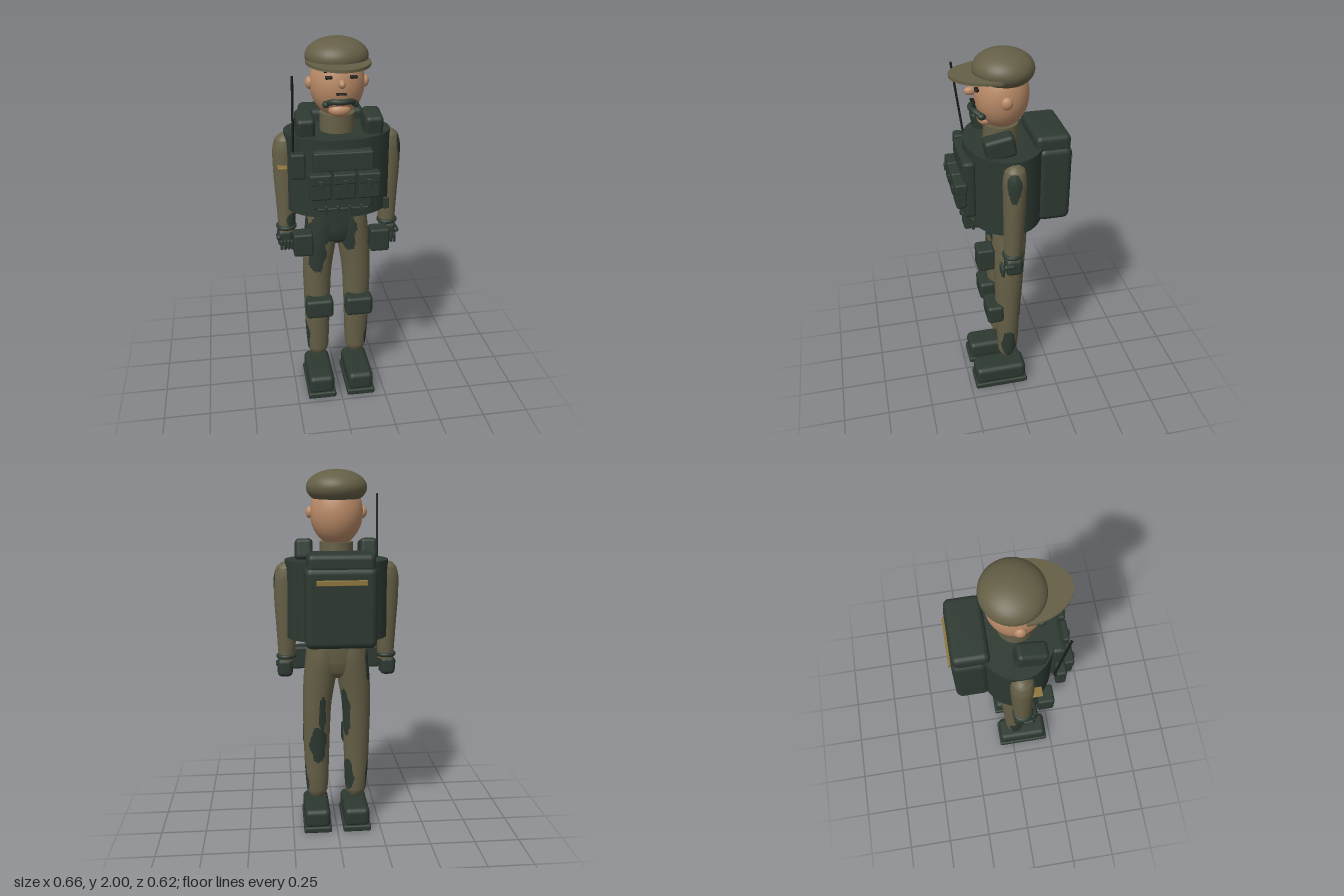
import * as THREE from 'three';
import { RoundedBoxGeometry } from 'three/addons/geometries/RoundedBoxGeometry.js';

const mat = (name, color, side = THREE.FrontSide) => {
  const m = new THREE.MeshStandardMaterial({ color, side });
  m.name = name;
  return m;
};

export function createModel() {
  const uniform = mat('olive uniform', 0x655f46);
  const gear = mat('dark green gear', 0x2d3931);
  const skin = mat('skin', 0xb98a67);
  const tan = mat('tan webbing', 0x8d763e);
  const black = mat('black', 0x1b1d1a);

  const model = new THREE.Group();
  model.name = 'soldier';

  const add = (name, geometry, material, x = 0, y = 0, z = 0, parent = model) => {
    const mesh = new THREE.Mesh(geometry, material);
    mesh.name = name;
    mesh.position.set(x, y, z);
    parent.add(mesh);
    return mesh;
  };
  const box = (w, h, d, r = 0.015) =>
    new RoundedBoxGeometry(w, h, d, 3, Math.min(r, w * 0.45, h * 0.45, d * 0.45));
  const ball = (rx, ry, rz) => new THREE.SphereGeometry(1, 40, 28).scale(rx, ry, rz);

  // Camouflage blotches: centre and radii
  const blotches = [
    [0.0, 1.03, 0.1, 0.095, 0.11, 0.07], [-0.12, 0.88, 0.1, 0.052, 0.12, 0.07],
    [-0.1, 1.0, 0.09, 0.06, 0.1, 0.06], [0.05, 0.95, 0.1, 0.04, 0.08, 0.05],
    [-0.17, 0.98, 0.0, 0.04, 0.11, 0.06],
    [0.17, 0.3, 0.025, 0.04, 0.1, 0.042], [-0.17, 0.33, 0.02, 0.04, 0.11, 0.04],
    [0.1, 0.52, -0.06, 0.07, 0.11, 0.035], [0.08, 0.68, -0.07, 0.022, 0.13, 0.035],
    [-0.05, 0.72, -0.02, 0.03, 0.17, 0.04], [-0.06, 0.32, -0.02, 0.035, 0.1, 0.04],
    [0.33, 1.44, 0.035, 0.045, 0.085, 0.035], [-0.24, 1.06, 0.06, 0.035, 0.05, 0.04],
  ];
  const isBlotch = (p) => blotches.some(([x, y, z, a, b, c]) =>
    ((p.x - x) / a) ** 2 + ((p.y - y) / b) ** 2 + ((p.z - z) / c) ** 2 <
      1 + 0.18 * Math.sin(p.y * 55 + p.x * 30));

  // Smooth sleeve or trouser tube through rings [y, cx, cz, rx, rz], camouflaged by face
  const limb = (rings, side = 1, rows = 100, cols = 56) => {
    const path = new THREE.CatmullRomCurve3(rings.map((r) => new THREE.Vector3(r[1] * side, r[0], r[2])));
    const size = new THREE.CatmullRomCurve3(rings.map((r) => new THREE.Vector3(r[3], 0, r[4])));
    const pts = [];
    const faces = [[], []];
    for (let i = 0; i <= rows; i++) {
      const c = path.getPoint(i / rows);
      const s = size.getPoint(i / rows);
      for (let j = 0; j < cols; j++) {
        const a = (j / cols) * Math.PI * 2;
        pts.push(new THREE.Vector3(c.x + Math.max(0, s.x) * Math.cos(a), c.y, c.z + Math.max(0, s.z) * Math.sin(a)));
      }
    }
    for (let i = 0; i < rows; i++) for (let j = 0; j < cols; j++) {
      const k = (j + 1) % cols;
      const [a, b, c, d] = [i * cols + j, i * cols + k, (i + 1) * cols + j, (i + 1) * cols + k];
      for (const tri of [[a, b, c], [b, d, c]]) {
        const mid = new THREE.Vector3();
        tri.forEach((v) => mid.addScaledVector(pts[v], 1 / 3));
        faces[isBlotch(mid) ? 1 : 0].push(...tri);
      }
    }
    const g = new THREE.BufferGeometry().setFromPoints(pts);
    g.setIndex([...faces[0], ...faces[1]]);
    g.addGroup(0, faces[0].length, 0);
    g.addGroup(faces[0].length, faces[1].length, 1);
    g.computeVertexNormals();
    return g;
  };
  const cloth = [uniform, gear];

  // Hips
  add('hips', limb([[1.16, 0, 0.005, 0.155, 0.09], [1.08, 0, 0.005, 0.162, 0.095],
    [1.0, 0, 0.008, 0.16, 0.092], [0.94, 0, 0.01, 0.12, 0.075], [0.905, 0, 0.01, 0.05, 0.04],
    [0.9, 0, 0.01, 0, 0]]), cloth);

  for (const s of [1, -1]) {
    const tag = s > 0 ? 'left' : 'right';

    // Trouser leg, knee pad and boot
    add(tag + 'Leg', limb([[1.12, 0.07, 0.005, 0.09, 0.088], [1.02, 0.077, 0.006, 0.092, 0.094],
      [0.9, 0.093, 0.01, 0.088, 0.088], [0.75, 0.108, 0.014, 0.079, 0.079], [0.6, 0.111, 0.017, 0.074, 0.072],
      [0.45, 0.112, 0.02, 0.07, 0.065], [0.32, 0.111, 0.02, 0.065, 0.06], [0.23, 0.11, 0.022, 0.058, 0.053],
      [0.195, 0.11, 0.022, 0.041, 0.037], [0.181, 0.11, 0.022, 0.015, 0.014], [0.179, 0.11, 0.022, 0, 0]], s), cloth);
    add(tag + 'KneePad', box(0.15, 0.11, 0.092, 0.02), gear, s * 0.11, 0.545, 0.1);
    add(tag + 'Boot', box(0.145, 0.11, 0.295, 0.03), gear, s * 0.112, 0.08, 0.07);
    add(tag + 'BootSole', box(0.158, 0.036, 0.308, 0.01), gear, s * 0.112, 0.018, 0.07);

    // Sleeve
    add(tag + 'Arm', limb([[1.535, 0.262, 0.02, 0, 0], [1.53, 0.262, 0.02, 0.025, 0.023],
      [1.505, 0.264, 0.02, 0.052, 0.05], [1.44, 0.267, 0.021, 0.064, 0.058], [1.33, 0.268, 0.022, 0.062, 0.056],
      [1.2, 0.268, 0.024, 0.055, 0.052], [1.08, 0.269, 0.027, 0.048, 0.047], [1.0, 0.27, 0.03, 0.043, 0.043]], s), cloth);

    // Gloved fist with cuff, fingers and thumb
    const hand = new THREE.Group();
    hand.name = tag + 'Hand';
    model.add(hand);
    add('cuff', new THREE.TorusGeometry(0.043, 0.012, 12, 32).rotateX(Math.PI / 2), gear, s * 0.272, 1.024, 0.03, hand);
    add('palm', box(0.082, 0.1, 0.09, 0.025), gear, s * 0.28, 0.962, 0.028, hand);
    for (let i = 0; i < 4; i++) {
      add('finger', new THREE.CapsuleGeometry(0.0085, 0.04, 6, 12), gear, s * (0.25 + i * 0.018), 0.936, 0.087, hand);
    }
    add('thumb', new THREE.CapsuleGeometry(0.014, 0.035, 6, 12).rotateX(Math.PI / 2), gear, s * 0.316, 0.975, 0.055, hand);

    // Hip pouch and shoulder pad
    add(tag + 'HipPouch', box(0.1, 0.125, 0.088, 0.012), gear, s * 0.2, 0.982, 0.162);
    add(tag + 'ShoulderPad', box(0.092, 0.11, 0.15, 0.022), gear, s * 0.17, 1.588, 0.073).rotation.x = 0.18;

    // Ear, eye and eyebrow
    add(tag + 'Ear', ball(0.022, 0.031, 0.028), skin, s * 0.137, 1.785, 0.028);
    add(tag + 'Eye', box(0.036, 0.016, 0.02, 0.006), black, s * 0.06, 1.836, 0.157);
    add(tag + 'Eyebrow', box(0.048, 0.01, 0.02, 0.004), black, s * 0.06, 1.866, 0.155);
  }

  // Vest and collar
  add('vest', new THREE.CylinderGeometry(1, 1, 0.41, 40).scale(0.272, 1, 0.2), gear, 0, 1.34, 0.02);
  add('collar', new THREE.CylinderGeometry(0.087, 0.09, 0.13, 40), uniform, 0, 1.57, 0.03);

  // Chest panel with pouches and webbing
  add('chestPanel', box(0.3, 0.31, 0.06, 0.02), gear, 0, 1.345, 0.216);
  add('chestFlap', box(0.295, 0.1, 0.03, 0.01), gear, 0, 1.445, 0.235);
  for (const x of [-0.12, 0, 0.12]) {
    add('magazinePouch', box(0.108, 0.125, 0.055, 0.012), gear, x, 1.328, 0.264);
    add('pouchFlap', box(0.111, 0.055, 0.062, 0.01), gear, x, 1.372, 0.264);
    add('pouchBuckle', box(0.024, 0.04, 0.014, 0.004), gear, x, 1.352, 0.299);
  }
  add('webbingStrap', box(0.26, 0.016, 0.014, 0.005), gear, -0.005, 1.2, 0.252);
  for (let i = 0; i < 4; i++) {
    add('webbingLoop', box(0.016, 0.045, 0.014, 0.005), gear, -0.09 + i * 0.059, 1.2, 0.258);
  }
  add('vestClip', box(0.03, 0.062, 0.014, 0.005), gear, 0.22, 1.205, 0.221);

  // Radio with a leaning antenna
  add('radio', box(0.072, 0.13, 0.05, 0.012), gear, -0.221, 1.425, 0.211);
  add('antenna', new THREE.TubeGeometry(new THREE.LineCurve3(new THREE.Vector3(-0.24, 1.46, 0.178),
    new THREE.Vector3(-0.24, 1.87, 0.23)), 2, 0.006, 10), black);
  add('sleeveTab', box(0.048, 0.01, 0.06, 0.003), tan, -0.287, 1.375, 0.086);

  // Backpack
  add('backpack', box(0.36, 0.41, 0.172, 0.035), gear, 0, 1.337, -0.21);
  add('backpackLid', box(0.335, 0.09, 0.178, 0.028), gear, 0, 1.56, -0.2);
  add('backpackStrap', box(0.25, 0.026, 0.018, 0.003), tan, 0, 1.468, -0.3);

  // Head
  add('head', ball(0.137, 0.17, 0.135), skin, 0, 1.785, 0.025);
  add('chin', ball(0.055, 0.034, 0.04), skin, 0, 1.665, 0.108);
  add('nose', ball(0.017, 0.021, 0.03), skin, 0, 1.808, 0.178);
  add('mouth', box(0.052, 0.009, 0.02, 0.004), black, 0, 1.757, 0.167);

  // Mouthpiece hung below the lips
  const bow = new THREE.CatmullRomCurve3([[-0.075, 1.7, 0.13], [-0.045, 1.72, 0.165], [0, 1.72, 0.178],
    [0.045, 1.72, 0.165], [0.075, 1.7, 0.13]].map((p) => new THREE.Vector3(...p)));
  add('mouthpieceBar', new THREE.TubeGeometry(bow, 32, 0.014, 12), gear);
  for (const x of [-0.072, 0.072]) add('mouthpieceEnd', ball(0.017, 0.017, 0.022), gear, x, 1.702, 0.137);

  // Cap: dome and half-oval peak
  add('capDome', ball(0.156, 0.09, 0.15), uniform, 0, 1.91, 0.015);
  add('capPeak', new THREE.CylinderGeometry(1, 1, 0.014, 48, 1, false, -Math.PI / 2, Math.PI)
    .scale(0.158, 1, 0.228), uniform, 0, 1.89, 0.05);

  return model;
}
